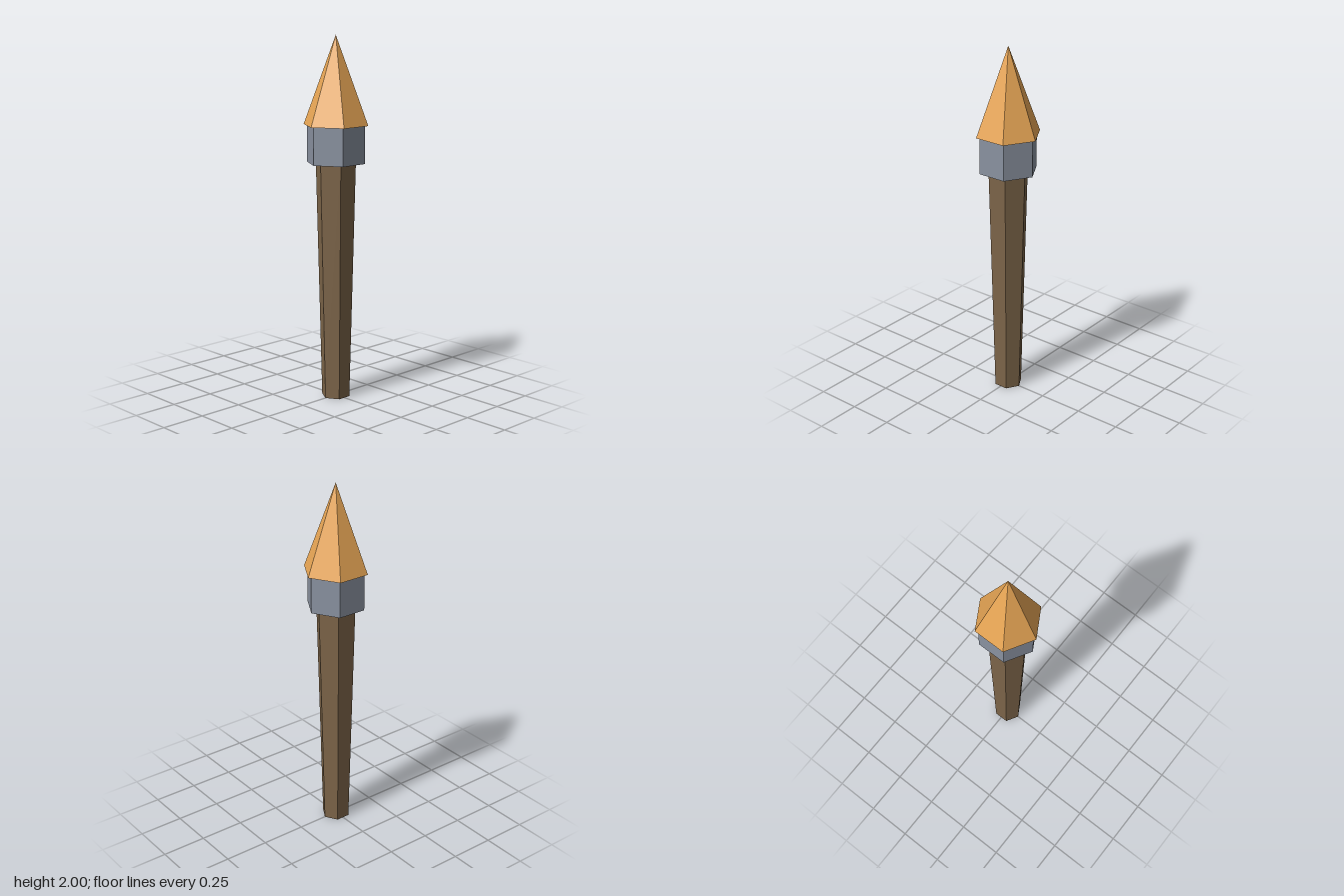
import * as THREE from 'three';

// Six-sided tapered section standing between two heights, corners on the z axis
function hexSection(name, topRadius, bottomRadius, y0, y1, color) {
  const geometry = topRadius === 0
    ? new THREE.ConeGeometry(bottomRadius, y1 - y0, 6)
    : new THREE.CylinderGeometry(topRadius, bottomRadius, y1 - y0, 6);
  const material = new THREE.MeshStandardMaterial({ color, flatShading: true });
  const mesh = new THREE.Mesh(geometry, material);
  mesh.name = name;
  mesh.position.y = (y0 + y1) / 2;
  return mesh;
}

export function createModel() {
  const torch = new THREE.Group();
  torch.name = 'torch';
  torch.add(
    // wooden handle, widening upwards
    hexSection('handle', 0.113, 0.079, 0, 1.33, 0x7d6549),
    // metal collar
    hexSection('collar', 0.163, 0.163, 1.315, 1.52, 0x8a92a0),
    // pointed flame
    hexSection('flame', 0, 0.181, 1.52, 2, 0xe8a655),
  );
  return torch;
}
